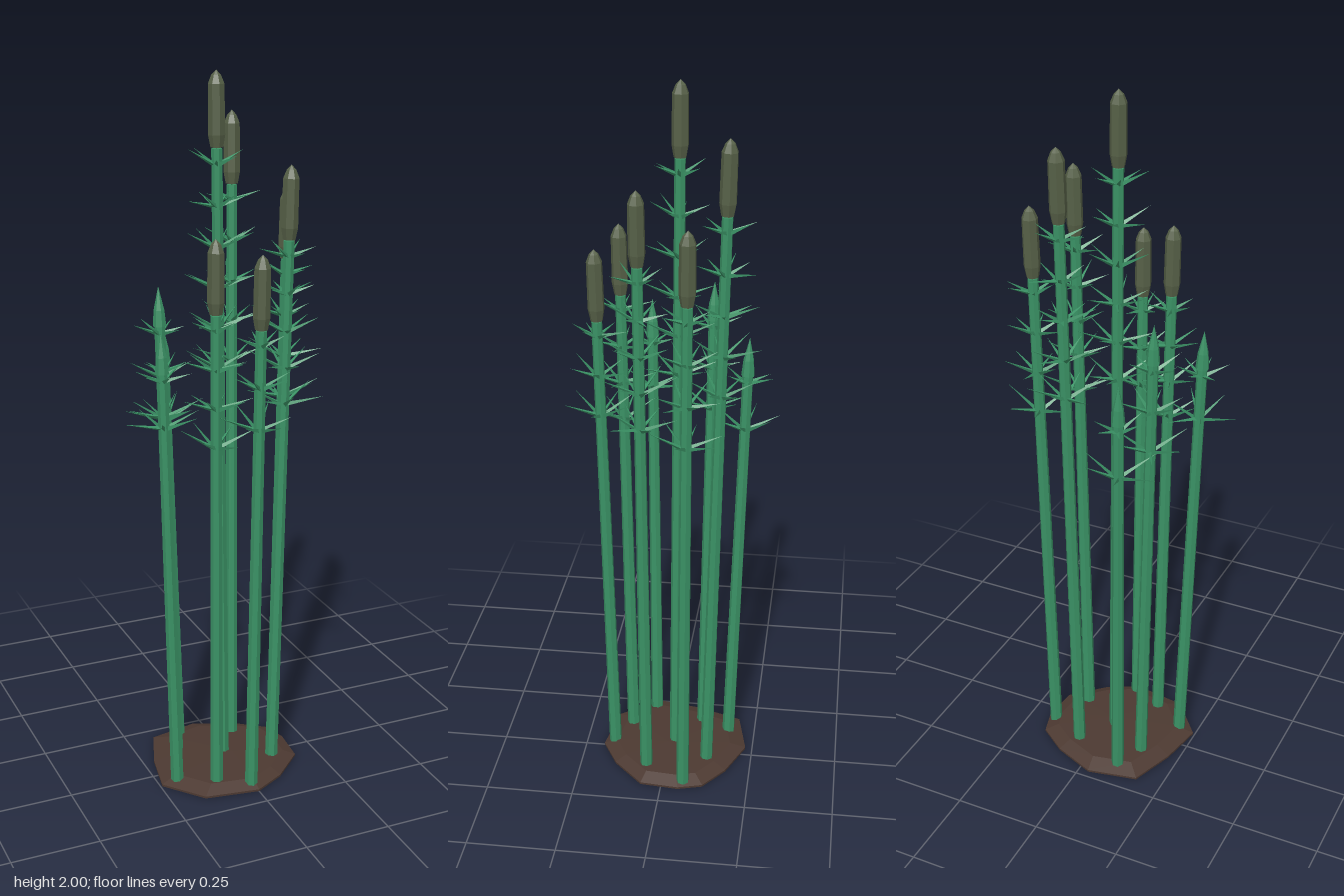
import * as THREE from 'three';
import { mergeGeometries } from 'three/addons/utils/BufferGeometryUtils.js';

const green = new THREE.MeshStandardMaterial({ name: 'stem green', color: 0x3a9265, flatShading: true });
const olive = new THREE.MeshStandardMaterial({ name: 'cone olive', color: 0x566047, flatShading: true });
const soil = new THREE.MeshStandardMaterial({ name: 'soil brown', color: 0x4c3931, flatShading: true });

const UP = new THREE.Vector3(0, 1, 0);

function seeded(seed) {
  return () => {
    seed = (seed * 16807) % 2147483647;
    return seed / 2147483647;
  };
}

// Thin three-sided needle from a point along a direction
function needle(from, dir, length) {
  const g = new THREE.ConeGeometry(0.0065, length, 3, 1, true);
  g.translate(0, length / 2, 0);
  g.applyQuaternion(new THREE.Quaternion().setFromUnitVectors(UP, dir));
  return g.translate(from.x, from.y, from.z);
}

// Irregular flat mound with a sloping rim
function makeMound() {
  const outline = [[-0.173, -0.2], [-0.03, -0.23], [0.09, -0.18], [0.17, -0.12], [0.19, -0.05], [0.18, 0.06],
    [0.09, 0.147], [0, 0.195], [-0.155, 0.17], [-0.245, 0.06], [-0.22, -0.07]];
  const n = outline.length;
  const pos = [];
  const index = [];
  for (const [scale, y] of [[1, 0], [1, 0.006], [0.8, 0.022]]) {
    for (const [x, z] of outline) pos.push(x * scale, y, z * scale);
  }
  pos.push(0, 0.028, 0, 0, 0, 0);
  for (let i = 0; i < n; i++) {
    const j = (i + 1) % n;
    for (const r of [0, n]) index.push(r + i, r + n + i, r + j, r + j, r + n + i, r + n + j);
    index.push(2 * n + i, 3 * n, 2 * n + j, i, j, 3 * n + 1);
  }
  const g = new THREE.BufferGeometry();
  g.setAttribute('position', new THREE.Float32BufferAttribute(pos, 3));
  g.setIndex(index);
  g.computeVertexNormals();
  const mesh = new THREE.Mesh(g, soil);
  mesh.name = 'soilMound';
  return mesh;
}

// One leaning stalk: stem, whorls of needles and a cone or pointed tip
function makeStalk(bx, bz, tx, ty, tz, lowest, fertile, rand) {
  const stalk = new THREE.Group();
  stalk.name = fertile ? 'coneStalk' : 'plainStalk';
  const lean = new THREE.Vector3(tx - bx, ty - 0.01, tz - bz);
  const length = lean.length();
  stalk.position.set(bx, 0.01, bz);
  stalk.quaternion.setFromUnitVectors(UP, lean.normalize());

  const headLength = fertile ? 0.2 : 0.09;
  const stemLength = length - headLength;
  const stem = new THREE.Mesh(new THREE.CylinderGeometry(0.015, 0.0185, stemLength, 7), green);
  stem.name = 'stem';
  stem.position.y = stemLength / 2;
  stalk.add(stem);

  const profile = fertile
    ? [[0, 0], [0.017, 0.003], [0.023, 0.035], [0.022, 0.165], [0.013, 0.187], [0, 0.2]]
    : [[0.019, -0.02], [0.015, 0.025], [0, 0.09]];
  const head = new THREE.Mesh(
    new THREE.LatheGeometry(profile.map(([x, y]) => new THREE.Vector2(x, y)), 7),
    fertile ? olive : green);
  head.name = fertile ? 'sporeCone' : 'stemTip';
  head.position.y = stemLength;
  stalk.add(head);

  // Whorls run evenly from the lowest one up to just below the head
  const needles = [];
  const highest = stemLength - 0.04;
  const gaps = Math.round((highest - lowest) / 0.11);
  for (let w = 0; w <= gaps; w++) {
    const y = highest - (highest - lowest) * w / gaps;
    const turn = rand() * Math.PI;
    for (let k = 0; k < 6; k++) {
      const a = turn + (k + (rand() - 0.5) * 0.3) * Math.PI / 3;
      const rise = 0.2 + rand() * 0.45;
      const dir = new THREE.Vector3(Math.cos(a), rise, Math.sin(a)).normalize();
      const from = new THREE.Vector3(Math.cos(a) * 0.011, y, Math.sin(a) * 0.011);
      needles.push(needle(from, dir, 0.055 + 0.03 * w / gaps + rand() * 0.03));
    }
  }
  const whorlMesh = new THREE.Mesh(mergeGeometries(needles), green);
  whorlMesh.name = 'needleWhorls';
  stalk.add(whorlMesh);
  return stalk;
}

export function createModel() {
  const group = new THREE.Group();
  group.name = 'horsetailClump';
  const rand = seeded(71);
  group.add(makeMound());
  // base x, base z, top x, top y, top z, lowest whorl, has cone
  const stalks = [
    [-0.02, -0.02, -0.035, 2.0, -0.028, 1.2, true],
    [0.052, -0.12, 0.07, 1.88, -0.165, 1.18, true],
    [0.105, 0.052, 0.14, 1.76, 0.063, 1.1, true],
    [0.162, -0.062, 0.198, 1.68, -0.075, 1.08, true],
    [-0.1, 0.12, -0.112, 1.6, 0.148, 1.03, true],
    [-0.01, 0.162, -0.003, 1.56, 0.197, 1.08, true],
    [-0.138, -0.09, -0.172, 1.43, -0.107, 1.05, false],
    [-0.1, -0.172, -0.12, 1.29, -0.21, 1.01, false],
    [-0.198, 0.06, -0.237, 1.35, 0.075, 1.08, false],
  ];
  for (const s of stalks) group.add(makeStalk(...s, rand));
  return group;
}
